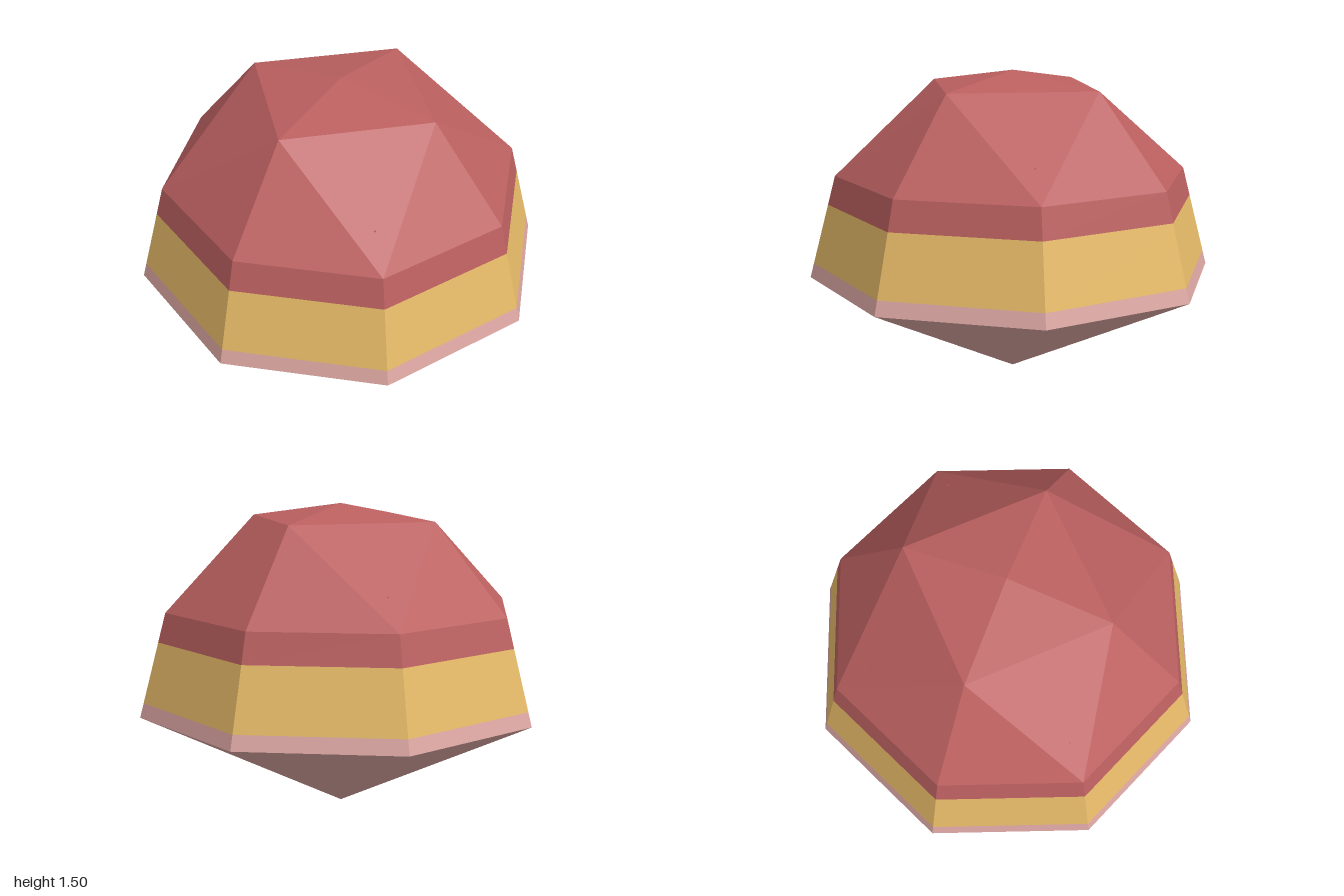
import * as THREE from 'three';

const SIDES = 8;

function paint(name, color) {
  const m = new THREE.MeshStandardMaterial({ color, flatShading: true });
  m.name = name;
  return m;
}

// Point on a ring; angle is counted in eighths of a turn from the front
function ringPoint(radius, y, eighth) {
  const a = (eighth * Math.PI) / 4;
  return [radius * Math.sin(a), y, radius * Math.cos(a)];
}

// Faceted cap: eight-sided rim, four-cornered upper ring, single apex
function crownGeometry(rimR, rimY, topR, topY, apexY) {
  const pos = [];
  for (let i = 0; i < SIDES; i += 2) {
    const apex = [0, apexY, 0];
    const t0 = ringPoint(topR, topY, i);
    const t1 = ringPoint(topR, topY, i + 2);
    const r0 = ringPoint(rimR, rimY, i);
    const r1 = ringPoint(rimR, rimY, i + 1);
    const r2 = ringPoint(rimR, rimY, i + 2);
    for (const tri of [[apex, t0, t1], [t0, r0, r1], [t0, r1, t1], [t1, r1, r2]]) {
      pos.push(...tri.flat());
    }
  }
  const g = new THREE.BufferGeometry();
  g.setAttribute('position', new THREE.Float32BufferAttribute(pos, 3));
  g.computeVertexNormals();
  return g;
}

export function createModel() {
  const group = new THREE.Group();
  group.name = 'facetedDome';

  const red = paint('dusty red', 0xbc6060);
  const gold = paint('gold', 0xe7bb68);
  const pink = paint('pale pink', 0xdea8a4);

  function add(name, geometry, material, y = 0) {
    const mesh = new THREE.Mesh(geometry, material);
    mesh.name = name;
    mesh.position.y = y;
    group.add(mesh);
  }

  // Pointed underside
  add('base', new THREE.CylinderGeometry(1, 0, 0.5, SIDES, 1, true), pink, 0.25);

  // Stacked bands on the tapering wall
  const wallRadius = (y) => 1 - 0.268 * (y - 0.5);
  const bands = [
    ['lowerBand', 0.5, 0.57, pink],
    ['middleBand', 0.57, 0.86, gold],
    ['upperBand', 0.86, 1.0, red],
  ];
  for (const [name, y0, y1, material] of bands) {
    const g = new THREE.CylinderGeometry(wallRadius(y1), wallRadius(y0), y1 - y0, SIDES, 1, true);
    add(name, g, material, (y0 + y1) / 2);
  }

  // Faceted top
  add('crown', crownGeometry(0.866, 1.0, 0.5, 1.427, 1.5), red);

  // Inner block whose four upper corners just break the crown
  add('core', new THREE.BoxGeometry(1, 0.64, 1), red, 0.817);

  return group;
}
